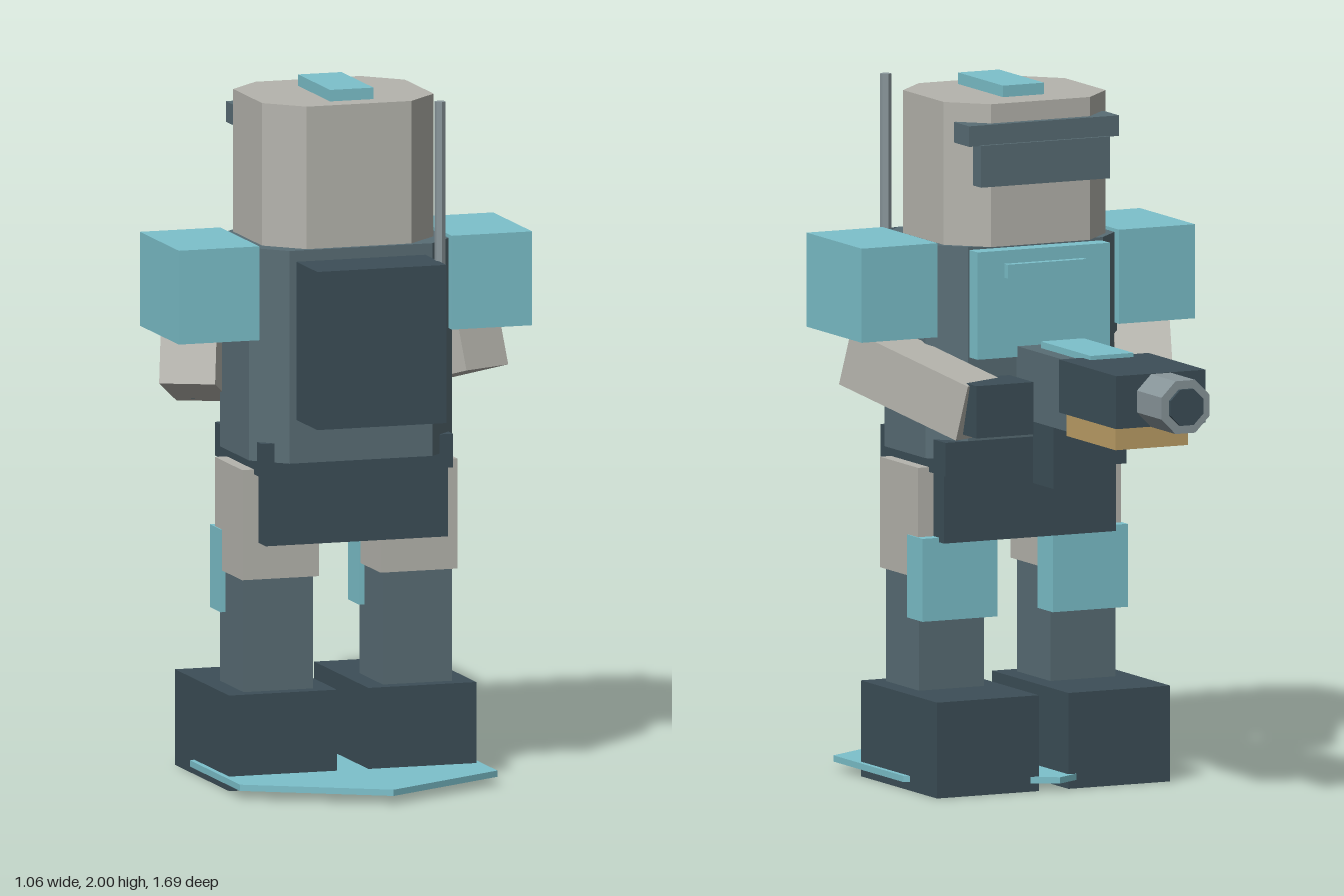
import * as THREE from 'three';

const mat = (name, color) => Object.assign(new THREE.MeshStandardMaterial({ color }), { name });

export function createModel() {
  const dark = mat('dark slate', 0x3c4e57);
  const mid = mat('slate', 0x596d75);
  const pale = mat('pale grey', 0xb5b4ad);
  const cyan = mat('cyan', 0x7cc0cb);
  const tan = mat('tan', 0xbd9f66);
  const metal = mat('metal grey', 0x89969b);

  const model = new THREE.Group();
  model.name = 'robot';
  model.position.x = -0.003;

  function add(name, geometry, material, x = 0, y = 0, z = 0) {
    const mesh = new THREE.Mesh(geometry, material);
    mesh.name = name;
    mesh.position.set(x, y, z);
    model.add(mesh);
    return mesh;
  }
  // Box given by its extents on each axis
  function box(name, material, [x0, x1], [y0, y1], [z0, z1]) {
    return add(name, new THREE.BoxGeometry(x1 - x0, y1 - y0, z1 - z0), material,
      (x0 + x1) / 2, (y0 + y1) / 2, (z0 + z1) / 2);
  }
  // Upright block with its four vertical edges cut off
  function cutBlock(name, material, hx, [y0, y1], [z0, z1], c) {
    const hz = (z1 - z0) / 2;
    const shape = new THREE.Shape([
      [hx, -hz + c], [hx, hz - c], [hx - c, hz], [-hx + c, hz],
      [-hx, hz - c], [-hx, -hz + c], [-hx + c, -hz], [hx - c, -hz],
    ].map(p => new THREE.Vector2(...p)));
    const geometry = new THREE.ExtrudeGeometry(shape, { depth: y1 - y0, bevelEnabled: false });
    geometry.rotateX(-Math.PI / 2);
    return add(name, geometry, material, 0, y0, (z0 + z1) / 2);
  }
  // Faceted rod
  const rod = (r, h, n) => new THREE.CylinderGeometry(r, r, h, n).toNonIndexed();
  function facet(geometry) {
    geometry.computeVertexNormals();
    return geometry;
  }

  // Hexagonal base plate
  add('basePlate', facet(rod(0.445, 0.018, 6)), cyan, 0, 0.033, 0.403);

  // Torso, belt and pelvis
  box('pelvis', dark, [-0.273, 0.273], [0.705, 0.944], [0.15, 0.52]);
  box('belt', dark, [-0.287, 0.287], [0.903, 1.0], [0.112, 0.522]);
  cutBlock('torso', mid, 0.304, [0.945, 1.557], [0.115, 0.555], 0.09);
  box('chestPlate', cyan, [-0.21, 0.21], [1.24, 1.548], [0.062, 0.135]);
  box('chestStrip', cyan, [-0.125, 0.125], [1.47, 1.51], [0.04, 0.063]);
  box('backpack', dark, [-0.193, 0.193], [1.07, 1.525], [0.55, 0.742]);
  add('antenna', facet(rod(0.016, 0.54, 6)), metal, 0.202, 1.712, 0.66);

  // Head
  cutBlock('head', pale, 0.257, [1.557, 1.967], [0.083, 0.54], 0.1);
  box('crest', cyan, [-0.065, 0.065], [1.967, 2.0], [0.19, 0.475]);
  box('brow', mid, [-0.238, 0.238], [1.853, 1.912], [0.06, 0.157]);
  box('visor', mid, [-0.205, 0.205], [1.735, 1.855], [0.05, 0.102]);

  // Legs and arms, mirrored
  for (const s of [-1, 1]) {
    const side = s > 0 ? 'left' : 'right';
    const pair = (part, m, [a, b], y, z) => box(side + part, m, s > 0 ? [a, b] : [-b, -a], y, z);
    pair('Foot', dark, [0.047, 0.37], [0, 0.275], [0, 0.483]);
    pair('Shin', mid, [0.105, 0.312], [0.27, 0.6], [0.23, 0.44]);
    pair('Thigh', pale, [0.092, 0.322], [0.6, 0.917], [0.215, 0.457]);
    pair('KneePad', cyan, [0.088, 0.326], [0.48, 0.718], [0.18, 0.277]);
    pair('ShoulderPad', cyan, [0.288, 0.529], [1.297, 1.567], [0.16, 0.508]);
    pair('Hand', dark, [0.14, 0.321], [1.05, 1.2], [-0.152, 0]);

    const shoulder = new THREE.Vector3(s * 0.44, 1.235, 0.333);
    const wrist = new THREE.Vector3(s * 0.262, 1.115, -0.06);
    const arm = add(side + 'Arm',
      new THREE.BoxGeometry(0.16, 0.165, shoulder.distanceTo(wrist)), pale);
    arm.position.lerpVectors(shoulder, wrist, 0.5);
    arm.lookAt(wrist);
  }

  // Blaster held in front
  box('gunStock', mid, [-0.08, 0.08], [1.12, 1.25], [0, 0.075]);
  box('gunBody', mid, [-0.112, 0.112], [1.077, 1.28], [-0.33, 0.005]);
  box('gunShroud', dark, [-0.142, 0.142], [1.135, 1.287], [-0.68, -0.318]);
  box('gunTopPlate', cyan, [-0.068, 0.068], [1.278, 1.299], [-0.37, -0.055]);
  box('gunMagazine', tan, [-0.115, 0.115], [1.065, 1.14], [-0.622, -0.31]);
  box('gunGrip', dark, [-0.065, 0.065], [0.885, 1.08], [-0.13, 0]);
  const barrel = (name, m, r, z0, z1) => {
    const geometry = facet(rod(r, z1 - z0, 8));
    geometry.rotateY(Math.PI / 8).rotateX(Math.PI / 2);
    add(name, geometry, m, 0, 1.21, (z0 + z1) / 2);
  };
  barrel('gunBarrel', metal, 0.082, -0.835, -0.67);
  barrel('gunBore', dark, 0.056, -0.845, -0.83);

  return model;
}
